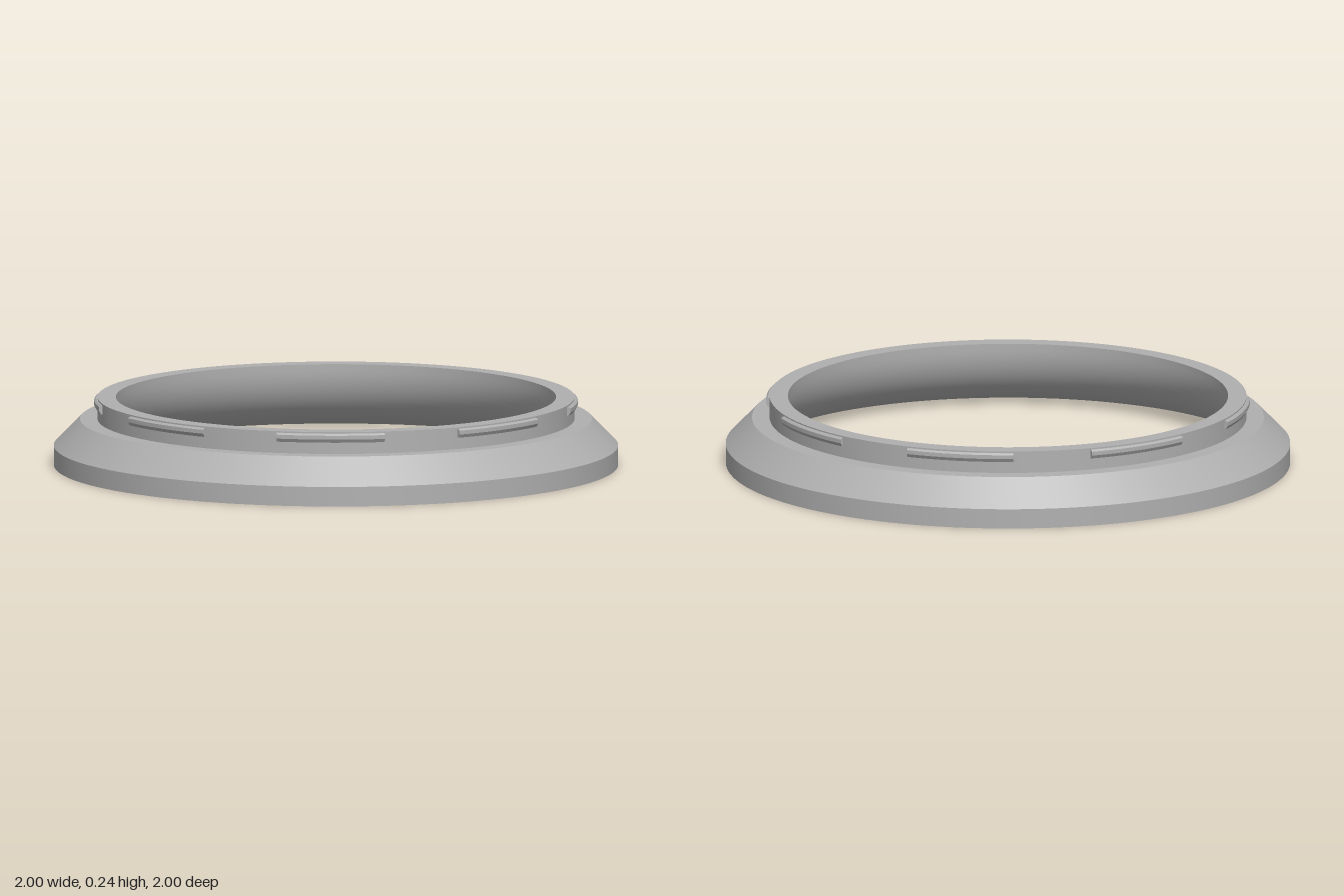
import * as THREE from 'three';
import { mergeGeometries, toCreasedNormals } from 'three/addons/utils/BufferGeometryUtils.js';

const CREASE = Math.PI / 6;
const deg = THREE.MathUtils.degToRad;
const vec = ([r, y]) => new THREE.Vector2(r, y);

// Ring body: stepped outside, bell-shaped bore rounding out to the bottom rim
function ringGeometry() {
  const outside = [[1, 0], [1, 0.07], [0.907, 0.165], [0.845, 0.165], [0.845, 0.243], [0.78, 0.243]];
  const bore = [];
  for (let i = 0; i <= 18; i++) {
    const a = (i / 18) * Math.PI / 2;
    bore.push([1 - 0.22 * Math.cos(a), 0.22 - 0.22 * Math.sin(a)]);
  }
  return toCreasedNormals(new THREE.LatheGeometry([...outside, ...bore].map(vec), 144), CREASE);
}

// Thin curved lug with closed ends, swept around the neck
function lugGeometry(start, length) {
  const profile = [[0.835, 0.206], [0.85, 0.206], [0.857, 0.218], [0.857, 0.232], [0.85, 0.238], [0.835, 0.238]].map(vec);
  const sweep = toCreasedNormals(new THREE.LatheGeometry(profile, 12, start, length), CREASE);
  const ends = [start, start + length].map((phi, i) => {
    const cap = new THREE.ShapeGeometry(new THREE.Shape(profile));
    if (i === 1) {
      // turn the far end cap to face outwards
      cap.index.array.reverse();
      cap.attributes.normal.array.forEach((n, k, arr) => { arr[k] = -n; });
    }
    return cap.rotateY(phi - Math.PI / 2).toNonIndexed();
  });
  return mergeGeometries([sweep, ...ends]);
}

export function createModel() {
  const model = new THREE.Group();
  const grey = new THREE.MeshStandardMaterial({ color: 0xb0b0b0 });
  grey.name = 'grey';

  const ring = new THREE.Mesh(ringGeometry(), grey);
  ring.name = 'adapterRing';
  model.add(ring);

  // Eight evenly spaced lugs around the neck
  const lugs = new THREE.Group();
  lugs.name = 'lugs';
  const geometry = lugGeometry(deg(9.5), deg(26));
  for (let i = 0; i < 8; i++) {
    const lug = new THREE.Mesh(geometry, grey);
    lug.name = `lug${i + 1}`;
    lug.rotation.y = i * Math.PI / 4;
    lugs.add(lug);
  }
  model.add(lugs);
  return model;
}
